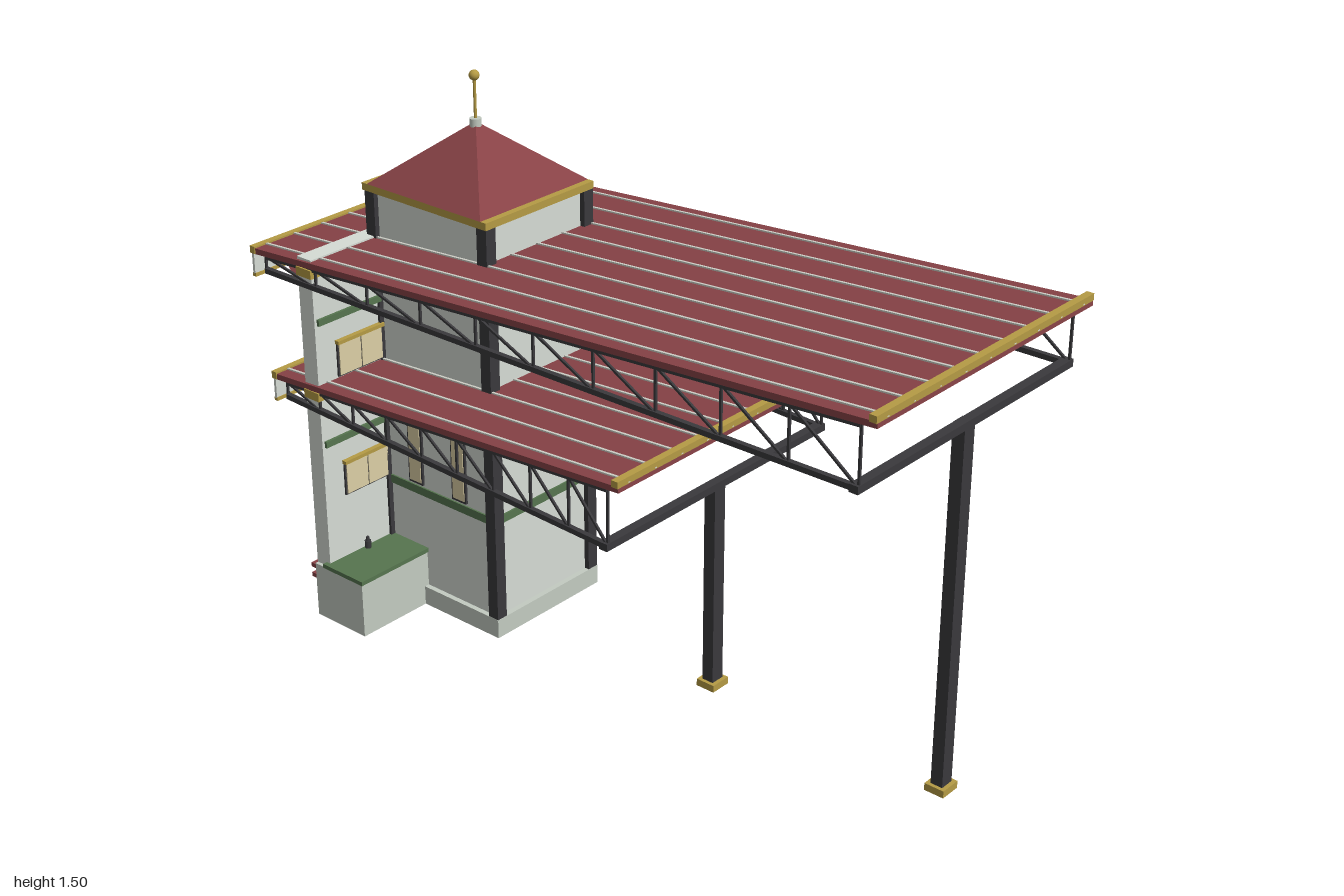
import * as THREE from 'three';

const mat = (color, extra = {}) => new THREE.MeshStandardMaterial({ color, ...extra });
const WALL = mat(0xd6dcd5), STONE = mat(0xc3cbc1), RED = mat(0x874246), DARK = mat(0x3a393c);
const GOLD = mat(0xb59b45), GREEN = mat(0x56754f), PANE = mat(0xdccfa5), SEAM = mat(0xcfd0c8);
const RED2 = mat(0x874246, { side: THREE.DoubleSide }), GOLD2 = mat(0xb59b45, { side: THREE.DoubleSide });

function add(parent, name, geo, material, x = 0, y = 0, z = 0) {
  const m = new THREE.Mesh(geo, material);
  m.name = name;
  m.position.set(x, y, z);
  parent.add(m);
  return m;
}

// Box given by its extents on each axis
function box(parent, name, material, x0, x1, y0, y1, z0, z1) {
  return add(parent, name, new THREE.BoxGeometry(x1 - x0, y1 - y0, z1 - z0), material,
    (x0 + x1) / 2, (y0 + y1) / 2, (z0 + z1) / 2);
}

// Bar running in the yz plane between points [z, y]
function bar(parent, name, material, x, a, b, w, h = w) {
  const dz = b[0] - a[0], dy = b[1] - a[1];
  const m = add(parent, name, new THREE.BoxGeometry(w, h, Math.hypot(dz, dy)), material,
    x, (a[1] + b[1]) / 2, (a[0] + b[0]) / 2);
  m.rotation.x = -Math.atan2(dy, dz);
  return m;
}

function group(parent, name) {
  const g = new THREE.Group();
  g.name = name;
  parent.add(g);
  return g;
}

// Sloping canopy: roof sheet, seams, trims, trusses, post, rear fascia and pennants
function canopy(parent, name, o) {
  const g = group(parent, name);
  const [f, b] = [o.front, o.back];
  const roofY = z => b[1] + (f[1] - b[1]) * (z - b[0]) / (f[0] - b[0]);
  const chordY = z => o.chordBack[1] + (o.chordFront[1] - o.chordBack[1]) *
    (z - o.chordBack[0]) / (o.chordFront[0] - o.chordBack[0]);
  bar(g, 'roofSheet', RED, 0, b, f, 0.855, 0.016);
  for (let i = -4; i < 5; i++) {
    const x = i * 0.097;
    bar(g, 'roofSeam', SEAM, x, [b[0], b[1] + 0.009], [f[0], f[1] + 0.009], 0.007, 0.006);
  }
  box(g, 'frontTrim', GOLD, -0.43, 0.43, f[1] + 0.004, f[1] + 0.022, f[0] - 0.02, f[0]);
  box(g, 'rearTrim', GOLD, -0.43, 0.43, b[1] - 0.006, b[1] + 0.014, b[0], b[0] + 0.018);

  // Side trusses
  for (const x of [-0.42, 0.42]) {
    const t = group(g, 'sideTruss');
    bar(t, 'bottomChord', DARK, x, o.chordBack, o.chordFront, 0.014);
    bar(t, 'topChord', DARK, x, [o.chordBack[0], roofY(o.chordBack[0]) - 0.012],
      [o.chordFront[0], roofY(o.chordFront[0]) - 0.012], 0.01);
    const step = (o.chordFront[0] - o.chordBack[0]) / o.bays;
    for (let i = 0; i <= o.bays; i++) {
      const z = o.chordFront[0] - i * step;
      bar(t, 'trussUpright', DARK, x, [z, chordY(z)], [z, roofY(z) - 0.01], 0.006);
      if (i < o.bays) bar(t, 'trussBrace', DARK, x, [z, chordY(z)], [z - step, roofY(z - step) - 0.01], 0.006);
    }
  }

  // Cross beam and single centre post
  const [cz, cy] = o.chordFront;
  box(g, 'crossBeam', DARK, -0.43, 0.43, cy - 0.01, cy + 0.01, cz - 0.02, cz + 0.005);
  box(g, 'post', DARK, -0.02, 0.02, 0.02, cy, o.postZ - 0.017, o.postZ + 0.017);
  box(g, 'postFoot', GOLD, -0.03, 0.03, 0, 0.02, o.postZ - 0.028, o.postZ + 0.028);

  for (const z of o.lamps)
    box(g, 'ceilingLamp', GOLD, -0.018, 0.018, roofY(z) - 0.022, roofY(z) - 0.006, z - 0.03, z + 0.03);

  // Rear fascia with hanging pennants
  const top = b[1], fz = b[0] + 0.008;
  box(g, 'fascia', WALL, -0.427, 0.427, top - 0.065, top, fz - 0.005, fz + 0.003);
  box(g, 'fasciaTrim', GOLD, -0.427, 0.427, top - 0.072, top - 0.062, fz - 0.007, fz + 0.005);
  const tri = new THREE.Shape([[-0.025, 0], [0, -0.062], [0.025, 0]].map(p => new THREE.Vector2(...p)));
  [-0.29, 0, 0.29].forEach((x, i) =>
    add(g, 'pennant', new THREE.ShapeGeometry(tri), i === 1 ? GOLD2 : RED2, x, top - 0.07, fz));
}

export function createModel() {
  const model = new THREE.Group();
  model.name = 'gatehouse';

  // Central tower
  const tower = group(model, 'tower');
  box(tower, 'plinth', STONE, -0.2, 0.2, 0, 0.055, -0.8, -0.362);
  box(tower, 'towerBody', WALL, -0.185, 0.185, 0.05, 1.185, -0.79, -0.378);
  for (const x of [-0.182, 0.182])
    for (const z of [-0.38, -0.785])
      box(tower, 'cornerColumn', DARK, x - 0.017, x + 0.017, 0.055, 1.185, z - 0.017, z + 0.017);
  for (const y of [0.345, 0.685, 1.02])
    box(tower, 'towerBand', GREEN, -0.19, 0.19, y - 0.012, y + 0.012, -0.78, -0.373);
  for (const s of [-1, 1])
    for (const z of [-0.503, -0.667]) {
      const w = group(tower, 'tallWindow');
      box(w, 'windowFrame', DARK, s * 0.188 - 0.004, s * 0.188 + 0.004, 0.365, 0.66, z - 0.026, z + 0.026);
      box(w, 'windowPane', PANE, s * 0.19 - 0.004, s * 0.19 + 0.004, 0.372, 0.653, z - 0.021, z + 0.021);
    }

  // Cupola roof with finial
  const cupola = group(model, 'cupola');
  box(cupola, 'eave', GOLD, -0.2, 0.2, 1.18, 1.2, -0.81, -0.362);
  const pyramid = new THREE.ConeGeometry(Math.SQRT1_2, 1, 4, 1).toNonIndexed();
  pyramid.rotateY(Math.PI / 4);
  pyramid.scale(0.4, 0.165, 0.41);
  pyramid.computeVertexNormals();
  add(cupola, 'pyramidRoof', pyramid, RED, 0, 1.2825, -0.586);
  add(cupola, 'finialCap', new THREE.CylinderGeometry(0.016, 0.016, 0.022, 12), STONE, 0, 1.363, -0.586);
  add(cupola, 'finialRod', new THREE.CylinderGeometry(0.004, 0.004, 0.12, 8), GOLD, 0, 1.43, -0.586);
  add(cupola, 'finialBall', new THREE.SphereGeometry(0.014, 16, 12), GOLD, 0, 1.488, -0.586);

  // Broad rear wall
  const wall = group(model, 'rearWall');
  box(wall, 'wallPanel', WALL, -0.42, 0.42, 0, 1.058, -0.827, -0.776);
  for (const y of [0.675, 1.022])
    box(wall, 'wallTrim', GOLD, -0.43, 0.43, y - 0.012, y + 0.012, -0.823, -0.768);
  for (const y of [0.12, 0.15])
    box(wall, 'rearRail', RED, -0.43, 0.43, y - 0.006, y + 0.006, -0.842, -0.825);

  // Mirrored wings: base block, wall bands, windows and lamp
  for (const s of [-1, 1]) {
    const wing = group(model, s > 0 ? 'leftWing' : 'rightWing');
    const side = (name, m, a, b, ...rest) => box(wing, name, m, Math.min(s * a, s * b), Math.max(s * a, s * b), ...rest);
    side('wingBase', STONE, 0.18, 0.43, 0, 0.16, -0.825, -0.642);
    side('wingTop', GREEN, 0.18, 0.434, 0.16, 0.172, -0.79, -0.637);
    for (const y of [0.53, 0.882])
      side('wallBand', GREEN, 0.19, 0.412, y - 0.009, y + 0.009, -0.78, -0.768);
    for (const y of [0.36, 0.712]) {
      side('windowFrame', DARK, 0.19, 0.352, y - 0.004, y + 0.095, -0.78, -0.771);
      side('windowPane', PANE, 0.196, 0.268, y, y + 0.09, -0.78, -0.768);
      side('windowPane', PANE, 0.272, 0.347, y, y + 0.09, -0.78, -0.768);
      side('windowHead', GOLD, 0.19, 0.355, y + 0.091, y + 0.101, -0.78, -0.762);
    }
    add(wing, 'lampBody', new THREE.CylinderGeometry(0.009, 0.009, 0.022, 10), DARK, s * 0.29, 0.183, -0.765);
    add(wing, 'lampTop', new THREE.CylinderGeometry(0.004, 0.006, 0.014, 10), DARK, s * 0.29, 0.199, -0.765);
  }

  // Two stacked canopies
  canopy(model, 'upperCanopy', {
    front: [1, 1.168], back: [-1, 1.03], chordFront: [0.955, 1.0], chordBack: [-0.95, 0.985],
    bays: 10, postZ: 0.94, lamps: [0.6, 0.1, -0.32],
  });
  canopy(model, 'lowerCanopy', {
    front: [0.275, 0.763], back: [-0.95, 0.685], chordFront: [0.235, 0.596], chordBack: [-0.9, 0.638],
    bays: 9, postZ: 0.22, lamps: [-0.06],
  });
  return model;
}
